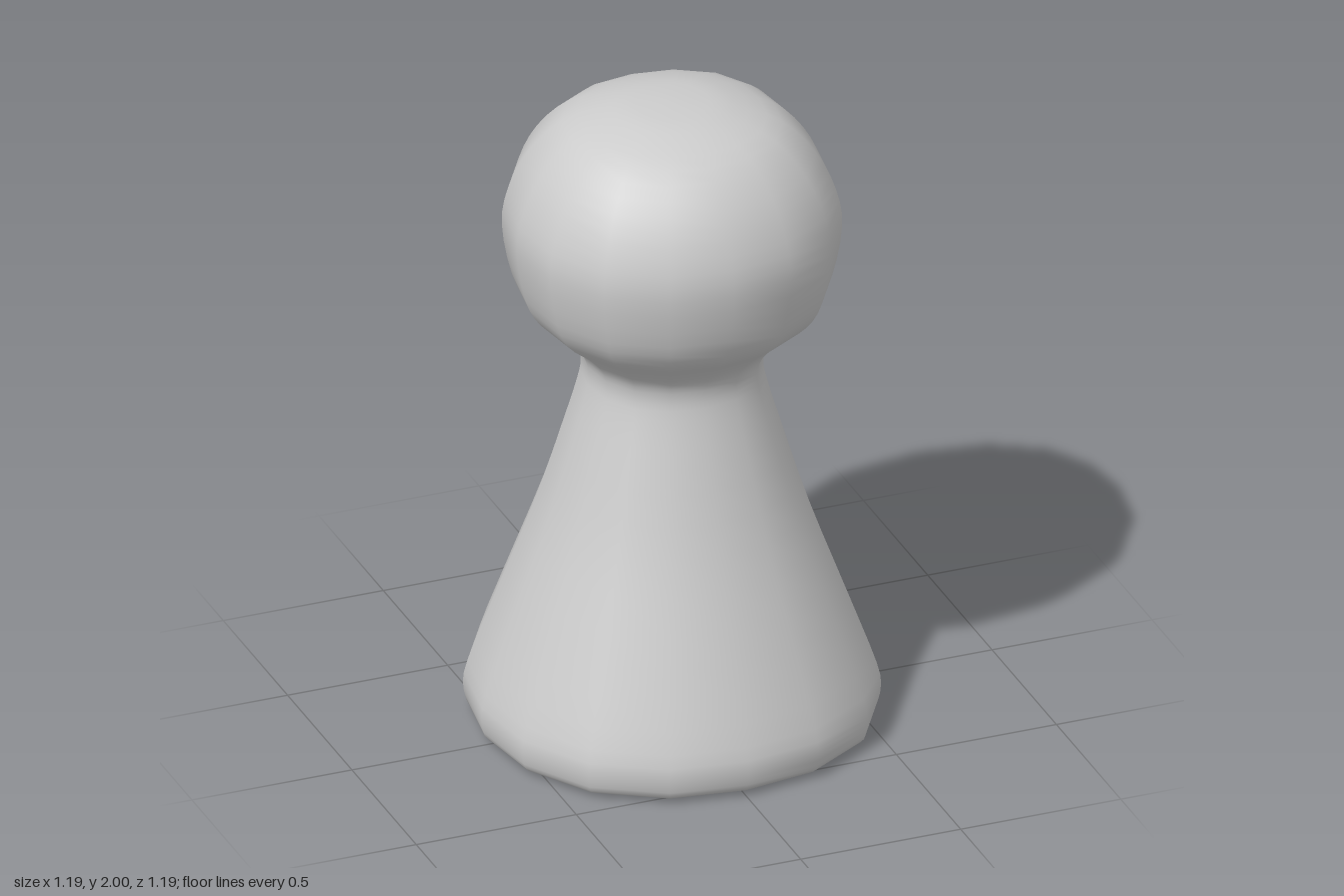
import * as THREE from 'three';
import { mergeVertices } from 'three/addons/utils/BufferGeometryUtils.js';

const SIDES = 16;

// Turned shape whose rings bulge slightly towards the diagonals, smooth all over
function turned(points) {
  const geometry = new THREE.LatheGeometry(points, SIDES);
  const pos = geometry.attributes.position;
  for (let i = 0; i < pos.count; i++) {
    const x = pos.getX(i), z = pos.getZ(i);
    const bulge = 1 + 0.035 * (1 - Math.cos(4 * Math.atan2(z, x))) / 2;
    pos.setX(i, x * bulge);
    pos.setZ(i, z * bulge);
  }
  // Weld the seam so the normals run round it
  geometry.deleteAttribute('uv');
  geometry.deleteAttribute('normal');
  const welded = mergeVertices(geometry, 1e-4);
  welded.computeVertexNormals();
  return welded;
}

export function createModel() {
  const group = new THREE.Group();
  group.name = 'gamePawn';

  // Side profile from the foot, over the waist, to the crown
  const side = new THREE.SplineCurve([
    [0.585, 0.03], [0.595, 0.08], [0.583, 0.16], [0.50, 0.39], [0.39, 0.69],
    [0.31, 0.95], [0.27, 1.09], [0.26, 1.155], [0.275, 1.21], [0.33, 1.27],
    [0.41, 1.34], [0.457, 1.43], [0.485, 1.59], [0.467, 1.71], [0.41, 1.83],
    [0.315, 1.93], [0.18, 1.983], [0.08, 1.997], [0, 2],
  ].map(([r, y]) => new THREE.Vector2(r, y))).getPoints(54);
  side[side.length - 1].set(0, 2);

  // Flat underside with a small rounded edge
  const foot = [[0, 0], [0.3, 0.002], [0.5, 0.007], [0.55, 0.011], [0.575, 0.018]]
    .map(([r, y]) => new THREE.Vector2(r, y));

  const pawn = new THREE.Mesh(
    turned([...foot, ...side]),
    new THREE.MeshStandardMaterial({ color: 0xcccccc }),
  );
  pawn.name = 'pawnBody';
  group.add(pawn);
  return group;
}
